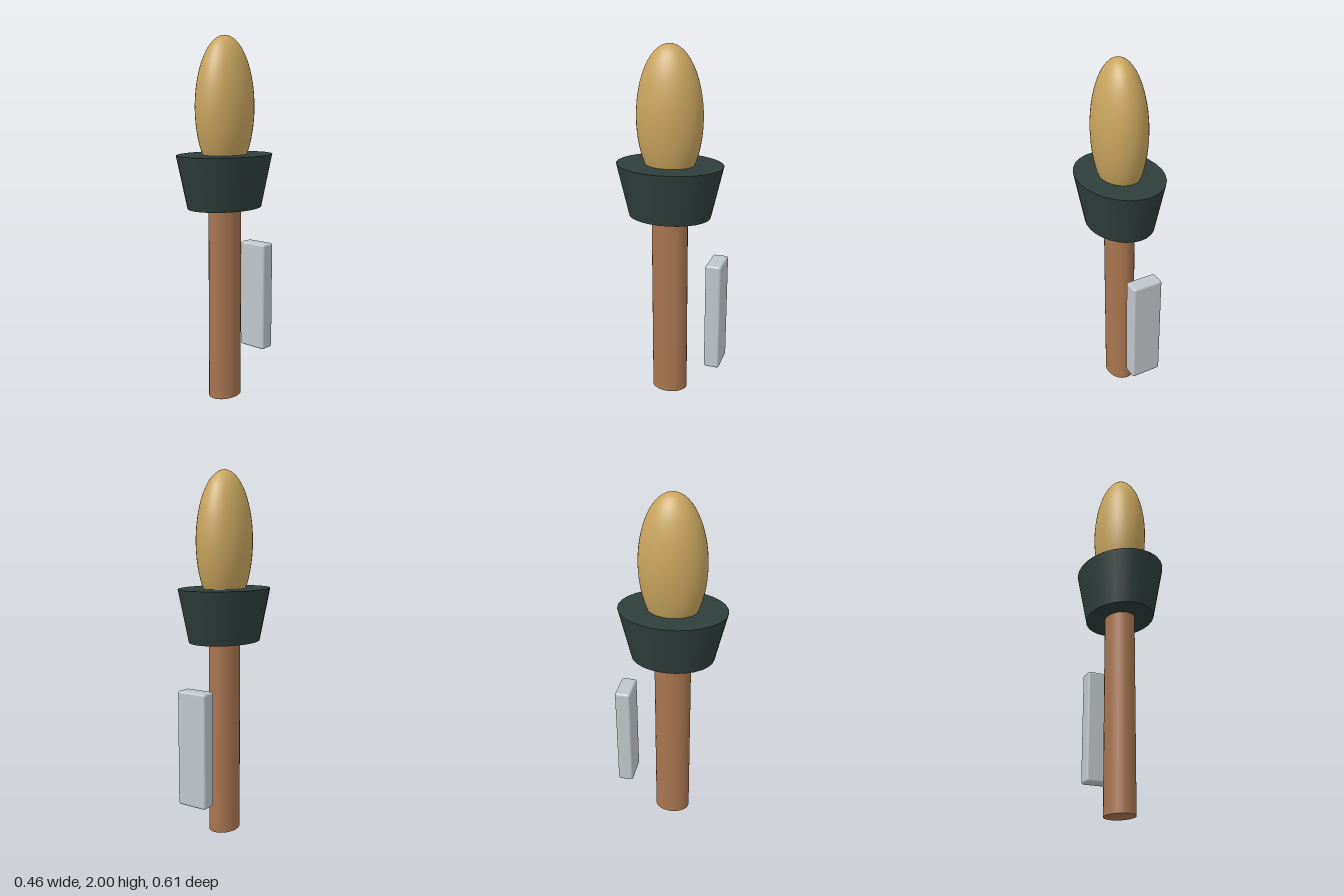
import * as THREE from 'three';
import { RoundedBoxGeometry } from 'three/addons/geometries/RoundedBoxGeometry.js';

const AXIS_Z = 0.01; // the oval stack sits slightly forward of centre

function material(name, color) {
  const m = new THREE.MeshStandardMaterial({ color });
  m.name = name;
  return m;
}

export function createModel() {
  const group = new THREE.Group();
  const add = (name, geometry, mat, y, z) => {
    const mesh = new THREE.Mesh(geometry, mat);
    mesh.name = name;
    mesh.position.set(0, y, z);
    group.add(mesh);
  };

  // Oval cylinder or cone: x radii at top and bottom, z stretched by a ratio
  const oval = (top, bottom, height, ratio) =>
    new THREE.CylinderGeometry(top, bottom, height, 28).scale(1, 1, ratio);

  // Straight oval handle
  add('handle', oval(0.079, 0.079, 1.09, 1.287), material('brown', 0xa8754f), 0.545, AXIS_Z);

  // Flared collar
  add('collar', oval(0.23, 0.178, 0.29, 1.287), material('dark green', 0x2f3e3c), 1.225, AXIS_Z);

  // Egg-shaped head set into the collar
  const head = new THREE.SphereGeometry(1, 40, 28).scale(0.141, 0.38, 0.181);
  add('head', head, material('gold', 0xc8a45e), 1.62, AXIS_Z);

  // Separate rounded plate behind the handle
  const plate = new RoundedBoxGeometry(0.176, 0.628, 0.088, 4, 0.014);
  add('backPlate', plate, material('light grey', 0xc0c6ca), 0.53, -0.263);

  return group;
}
